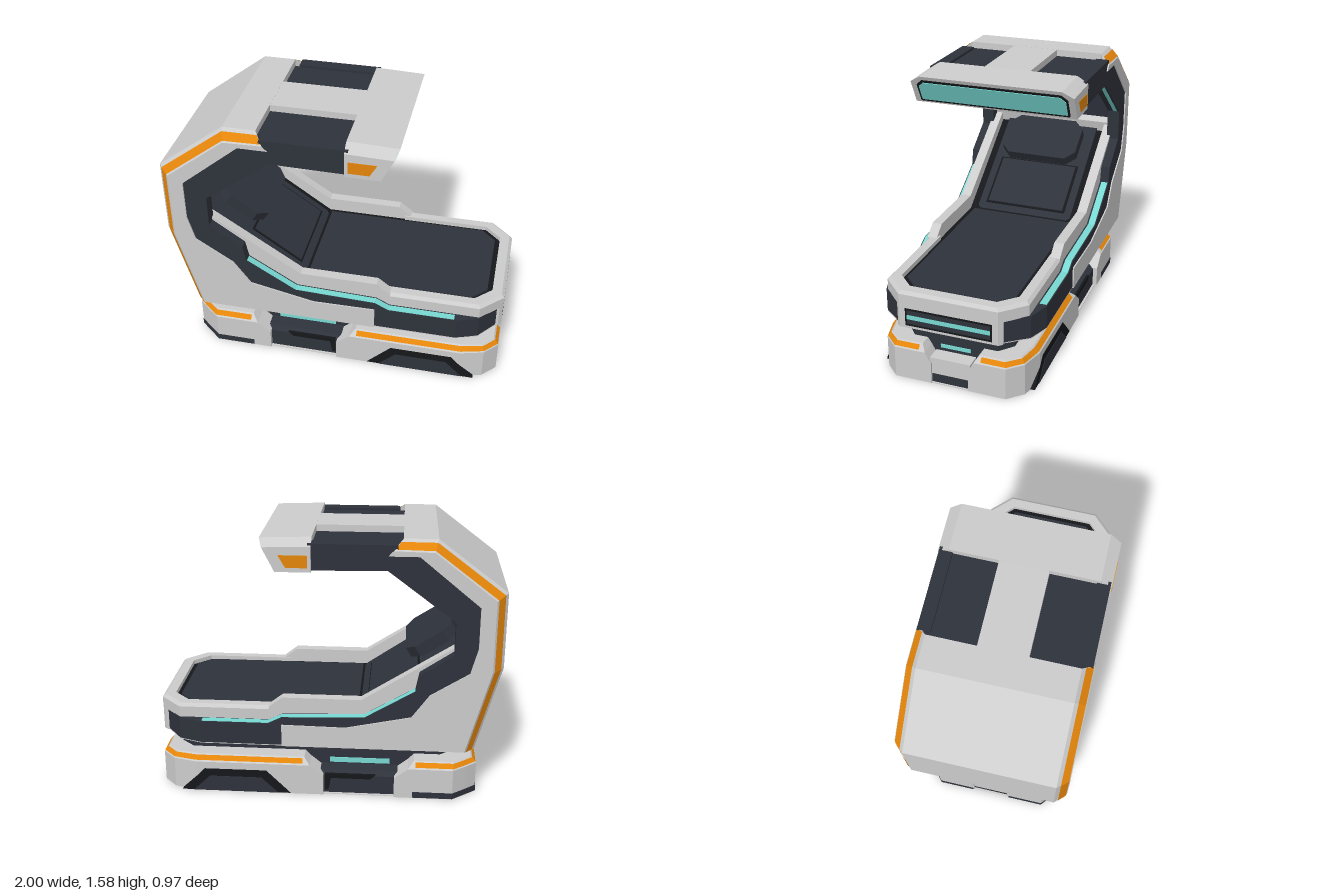
import * as THREE from 'three';

const mat = (color) => new THREE.MeshStandardMaterial({ color, flatShading: true, side: THREE.DoubleSide });
const GREY = mat(0xcccccc), DARK = mat(0x2e323b), BLACK = mat(0x15171a), ORANGE = mat(0xe4850a), TEAL = mat(0x78d8d2);

export function createModel() {
  const root = new THREE.Group();
  const add = (name, geo, material) => {
    const m = new THREE.Mesh(geo, material);
    m.name = name;
    root.add(m);
    return m;
  };
  const toGeometry = (verts) => {
    const g = new THREE.BufferGeometry();
    g.setAttribute('position', new THREE.Float32BufferAttribute(verts.flat(), 3));
    g.computeVertexNormals();
    return g;
  };

  // Solid through matching 2D sections [points, height], stacked along z (points xy) or y (points xz)
  function loft(name, material, sections, axis = 'z') {
    let s = [...sections].sort((a, b) => a[1] - b[1]);
    const v2 = (pts) => pts.map((p) => new THREE.Vector2(...p));
    if (THREE.ShapeUtils.isClockWise(v2(s[0][0]))) s = s.map(([p, h]) => [[...p].reverse(), h]);
    const rings = s.map(([p, h]) => p.map(([a, b]) => (axis === 'z' ? [a, b, h] : [a, h, b])));
    const verts = [], n = rings[0].length;
    const tri = (a, b, c) => (axis === 'z' ? verts.push(a, b, c) : verts.push(a, c, b));
    for (let k = 0; k < rings.length - 1; k++) {
      const A = rings[k], B = rings[k + 1];
      for (let i = 0; i < n; i++) {
        const j = (i + 1) % n;
        tri(A[i], A[j], B[j]);
        tri(A[i], B[j], B[i]);
      }
    }
    const cap = (k, flip) => {
      for (const [a, b, c] of THREE.ShapeUtils.triangulateShape(v2(s[k][0]), [])) {
        const R = rings[k];
        flip ? tri(R[a], R[c], R[b]) : tri(R[a], R[b], R[c]);
      }
    };
    cap(0, true);
    cap(rings.length - 1, false);
    return add(name, toGeometry(verts), material);
  }
  const prism = (name, m, pts, z0, z1) => loft(name, m, [[pts, z0], [pts, z1]]);
  const slab = (name, m, pts, y0, y1) => loft(name, m, [[pts, y0], [pts, y1]], 'y');
  const rect = (x0, x1, y0, y1) => [[x0, y0], [x1, y0], [x1, y1], [x0, y1]];
  // Closed outline from one half, mirrored across z = 0
  const mirrored = (half) => [...half, ...[...half].reverse().map(([x, z]) => [x, -z])];

  // Thin panel lying on the line p0 -> p1 (xy), spanning z0..z1, raised to its left, corners cut by c and e
  function plate(name, m, p0, p1, z0, z1, t = 0.01, c = 0, e = c) {
    const d = new THREE.Vector3(p1[0] - p0[0], p1[1] - p0[1], 0), L = d.length();
    d.normalize();
    const shape = new THREE.Shape([[z0 + c, 0], [z1 - c, 0], [z1, c], [z1, L - e],
      [z1 - e, L], [z0 + e, L], [z0, L - e], [z0, c]].map((p) => new THREE.Vector2(...p)));
    const g = new THREE.ExtrudeGeometry(shape, { depth: t, bevelEnabled: false });
    g.applyMatrix4(new THREE.Matrix4().makeBasis(new THREE.Vector3(0, 0, 1), d,
      new THREE.Vector3(-d.y, d.x, 0)).setPosition(p0[0], p0[1], 0));
    return add(name, g, m);
  }
  // Ribbon of quads between two 3D polylines
  function strip(name, m, A, B) {
    const v = [];
    for (let i = 0; i < A.length - 1; i++) v.push(A[i], A[i + 1], B[i + 1], A[i], B[i + 1], B[i]);
    return add(name, toGeometry(v), m);
  }
  const lerp = (a, b, t) => a + (b - a) * t;

  // Curved outer shell with chamfered side edges
  const outer = [[-0.86, 0.33], [-1, 0.84], [-1, 1.28], [-0.61, 1.575], [-0.42, 1.575]];
  const inset = [[-0.8, 0.33], [-0.935, 0.83], [-0.935, 1.25], [-0.59, 1.515], [-0.37, 1.52]];
  const inner = [[-0.51, 1.49], [-0.85, 1.21], [-0.85, 0.97], [-0.81, 0.82],
    [-0.59, 0.68], [-0.49, 0.54], [-0.11, 0.46], [0.26, 0.465], [0.26, 0.33]];
  const full = [...outer, [-0.42, 1.49], ...inner], small = [...inset, [-0.34, 1.49], ...inner];
  loft('outerShell', GREY, [[small, -0.484], [full, -0.42], [full, 0.42], [small, 0.484]]);

  // Inner liner and ceiling
  prism('innerLiner', DARK, [[0.1, 1.535], [-0.45, 1.535], [-0.5, 1.49], [-0.88, 1.2], [-0.88, 0.9], [-0.85, 0.9],
    [-0.785, 1.265], [-0.5, 1.45], [0.1, 1.45]], -0.41, 0.41);
  for (const z of [-0.26, 0, 0.26]) {
    plate('wallPanelFrame', BLACK, [-0.787, 1.275], [-0.829, 1.03], z - 0.13, z + 0.13, 0.006);
    plate('wallPanel', DARK, [-0.787, 1.265], [-0.827, 1.035], z - 0.116, z + 0.116, 0.013);
    plate('ceilingPanel', DARK, [-0.51, 1.445], [-0.77, 1.275], z - 0.12, z + 0.12, 0.01);
  }

  // Hood: grey bridge plate and slanted end cap with light panel
  slab('hoodBridge', GREY, rect(-0.43, 0.085, -0.14, 0.14), 1.5, 1.574);
  const capFull = [[0.08, 1.575], [0.37, 1.565], [0.28, 1.39], [0.08, 1.39]];
  const capSide = [[0.08, 1.535], [0.35, 1.527], [0.28, 1.39], [0.08, 1.39]];
  loft('hoodEnd', GREY, [[capSide, -0.484], [capFull, -0.42], [capFull, 0.42], [capSide, 0.484]]);
  plate('hoodLightFrame', BLACK, [0.359, 1.543], [0.286, 1.402], -0.448, 0.448, 0.004, 0.035, 0.005);
  plate('hoodLight', TEAL, [0.352, 1.53], [0.293, 1.415], -0.436, 0.436, 0.008, 0.03, 0.005);

  // Parts repeated on both sides
  const cheek = [[0.1, 1.55], [-0.39, 1.55], [-0.4, 1.5], [-0.55, 1.5], [-0.88, 1.23], [-0.88, 0.95], [-0.84, 0.8],
    [-0.62, 0.65], [-0.55, 0.45], [-0.5, 0.335], [0.74, 0.335], [0.74, 0.47], [0.34, 0.47], [0.26, 0.51],
    [-0.22, 0.525], [-0.51, 0.7], [-0.53, 0.8], [-0.72, 0.93], [-0.72, 1.12], [-0.34, 1.406], [0.1, 1.4]];
  const rail = [[-0.86, 1.04], [-0.2, 0.612], [0.26, 0.612], [0.34, 0.55], [0.34, 0.46], [-0.25, 0.46], [-0.86, 0.88]];
  const lightPath = [[-0.51, 0.7], [-0.22, 0.525], [0.26, 0.51], [0.34, 0.47], [0.73, 0.47]];
  for (const s of [-1, 1]) {
    prism('sideFrame', DARK, cheek, s * 0.4, s * 0.476);
    prism('bedRail', GREY, rail, s * 0.36, s * 0.42);
    const edge = (t) => outer.map((p, i) =>
      [lerp(p[0], inset[i][0], t), lerp(p[1], inset[i][1], t), s * (0.425 + 0.064 * t)]);
    strip('shellStripe', ORANGE, edge(0.25), edge(0.85));
    prism('hoodMarker', ORANGE, [[0.1, 1.485], [0.26, 1.485], [0.22, 1.415], [0.1, 1.415]], s * 0.46, s * 0.487);
    const z0 = Math.min(s * 0.43, s * 0.47), z1 = Math.max(s * 0.43, s * 0.47);
    for (let i = 0; i < lightPath.length - 1; i++)
      plate('sideLight', TEAL, lightPath[i], lightPath[i + 1], z0, z1, 0.003);
    plate('ceilingLight', TEAL, [-0.37, 1.383], [-0.715, 1.124], z0 + 0.008, z1 - 0.008, 0.003);
  }

  // Bed hull with cut front corners and grey underside
  prism('bedHull', DARK, [[-0.8, 0.335], [0.74, 0.335], [0.74, 0.47], [-0.2, 0.5], [-0.86, 0.92]], -0.41, 0.41);
  const hull = (x) => mirrored([[x, -0.476], [0.74, -0.476], [0.87, -0.43], [0.965, -0.31]]);
  slab('bedHullFront', DARK, hull(0.7), 0.335, 0.47);
  slab('bedHullUnderside', GREY, hull(0.25), 0.33, 0.336);

  // Raised rim around the front of the bed
  const rim = (e) => [[0.3, -0.42 + e], [0.87 - e / 2, -0.42 + e], [1 - e, -0.29 + e / 2], [1 - e, 0.29 - e / 2],
    [0.87 - e / 2, 0.42 - e], [0.3, 0.42 - e], [0.3, 0.35], [0.83, 0.35], [0.925, 0.255], [0.925, -0.255], [0.83, -0.35], [0.3, -0.35]];
  loft('bedRim', GREY, [[rim(0), 0.468], [rim(0), 0.535], [rim(0.018), 0.552]], 'y');
  slab('bedNose', GREY, mirrored([[0.9, -0.31], [0.98, -0.31], [0.999, -0.29]]), 0.33, 0.5);
  plate('noseFrame', BLACK, [0.995, 0.452], [0.995, 0.345], -0.255, 0.255, 0.005);
  plate('nosePanel', DARK, [0.995, 0.44], [0.995, 0.357], -0.245, 0.245, 0.0055);
  plate('noseLight', TEAL, [0.995, 0.412], [0.995, 0.385], -0.245, 0.245, 0.006);

  // Mattress floor, pads, headboard and pillow
  prism('bedFloor', BLACK, [[-0.86, 0.98], [-0.2, 0.525], [0.35, 0.525], [0.35, 0.46], [-0.25, 0.46], [-0.86, 0.86]], -0.37, 0.37);
  slab('bedFloorFront', BLACK, mirrored([[0.3, -0.36], [0.85, -0.36], [0.94, -0.26]]), 0.46, 0.525);
  slab('mattress', DARK, mirrored([[-0.18, -0.325], [0.81, -0.325], [0.895, -0.24]]), 0.5, 0.538);
  plate('backPad', DARK, [-0.84, 0.975], [-0.2, 0.533], -0.31, 0.31, 0.01, 0.02);
  plate('lumbarFrame', BLACK, [-0.54, 0.765], [-0.24, 0.558], -0.265, 0.265, 0.014);
  plate('lumbarPad', DARK, [-0.53, 0.758], [-0.25, 0.565], -0.25, 0.25, 0.022);
  prism('headboard', GREY, [[-0.86, 1.04], [-0.81, 1.04], [-0.785, 1.01], [-0.81, 0.92], [-0.86, 0.92]], -0.4, 0.4);
  plate('pillowMount', DARK, [-0.72, 0.885], [-0.56, 0.775], -0.15, 0.15, 0.08);
  plate('pillow', DARK, [-0.745, 0.967], [-0.485, 0.798], -0.25, 0.25, 0.066, 0.06);

  // Pedestal and base core
  slab('pedestal', DARK, mirrored([[-0.75, -0.25], [-0.67, -0.32], [0.82, -0.32], [0.9, -0.25]]), 0.1, 0.34);
  slab('baseUnderside', GREY, mirrored([[-0.882, -0.33], [-0.75, -0.44], [0.78, -0.44], [0.915, -0.408],
    [0.996, -0.328]]), 0, 0.004);
  slab('baseCore', DARK, rect(-0.872, 0.985, -0.12, 0.12), 0.003, 0.07);
  const mid = (z) => rect(-0.42, 0.04, -z, z);
  loft('baseMiddle', DARK, [[mid(0.425), 0.003], [mid(0.425), 0.12], [mid(0.395), 0.14], [mid(0.33), 0.147]], 'y');
  slab('frontBumper', GREY, rect(0.8, 0.988, -0.12, 0.12), 0.06, 0.16);
  slab('rearBumper', GREY, rect(-0.875, -0.7, -0.12, 0.12), 0.06, 0.16);
  plate('frontBaseLight', TEAL, [0.9, 0.203], [0.9, 0.182], -0.09, 0.09, 0.006);
  plate('rearBaseLight', TEAL, [-0.75, 0.182], [-0.75, 0.203], -0.09, 0.09, 0.006);

  // Four corner feet: inner end a, then three corner points, with bevelled tops and orange bands
  const feet = [['frontFoot', 0.02, 1, [[0.78, 0.452], [0.92, 0.414], [1, 0.33]]],
    ['rearFoot', -0.4, -1, [[-0.745, 0.452], [-0.82, 0.392], [-0.885, 0.335]]]];
  for (const s of [-1, 1]) for (const [name, a, q, corner] of feet) {
    const bend = (e) => corner.map(([x, z], i) => [x - q * e * i * 0.4, z - e * (1 - i * 0.3)]);
    const outline = (da, zi, e) => {
      const c = bend(e);
      return [[a + q * da, zi], [a + q * da, c[0][1]], ...c, [c[2][0], zi]].map(([x, z]) => [x, s * z]);
    };
    loft(name, GREY, [[outline(0, 0.11, 0), 0], [outline(0, 0.11, 0), 0.125],
      [outline(0.08, 0.145, 0), 0.19], [outline(0.115, 0.17, 0.04), 0.228]], 'y');
    const band = (y, e) => {
      const c = bend(e);
      return [[a + q * 0.12, c[0][1]], ...c, [c[2][0], 0.18]].map(([x, z]) => [x + q * 0.004, y, s * (z + 0.004)]);
    };
    strip(name + 'Band', ORANGE, band(0.199, 0.0095), band(0.222, 0.0337));
  }

  // Side details of the base
  for (const s of [-1, 1]) {
    prism('ventFrame', BLACK, [[0.215, 0.003], [0.36, 0.147], [0.73, 0.147], [0.87, 0.003]], s * 0.41, s * 0.454);
    prism('vent', DARK, [[0.29, 0.003], [0.39, 0.1], [0.7, 0.1], [0.8, 0.003]], s * 0.41, s * 0.457);
    slab('rearFootSkid', DARK, [[-0.51, 0.3], [-0.51, 0.455], [-0.746, 0.455], [-0.888, 0.336], [-0.888, 0.12],
      [-0.8, 0.12]].map(([x, z]) => [x, s * z]), 0.003, 0.04);
    prism('hatchFrame', BLACK, [[-0.29, 0.128], [0.01, 0.128], [0.01, 0.02], [-0.01, 0.02], [-0.025, 0.1], [-0.26, 0.1]], s * 0.4, s * 0.428);
    prism('baseSideLight', TEAL, rect(-0.37, -0.01, 0.155, 0.186), s * 0.3, s * 0.326);
  }
  return root;
}
